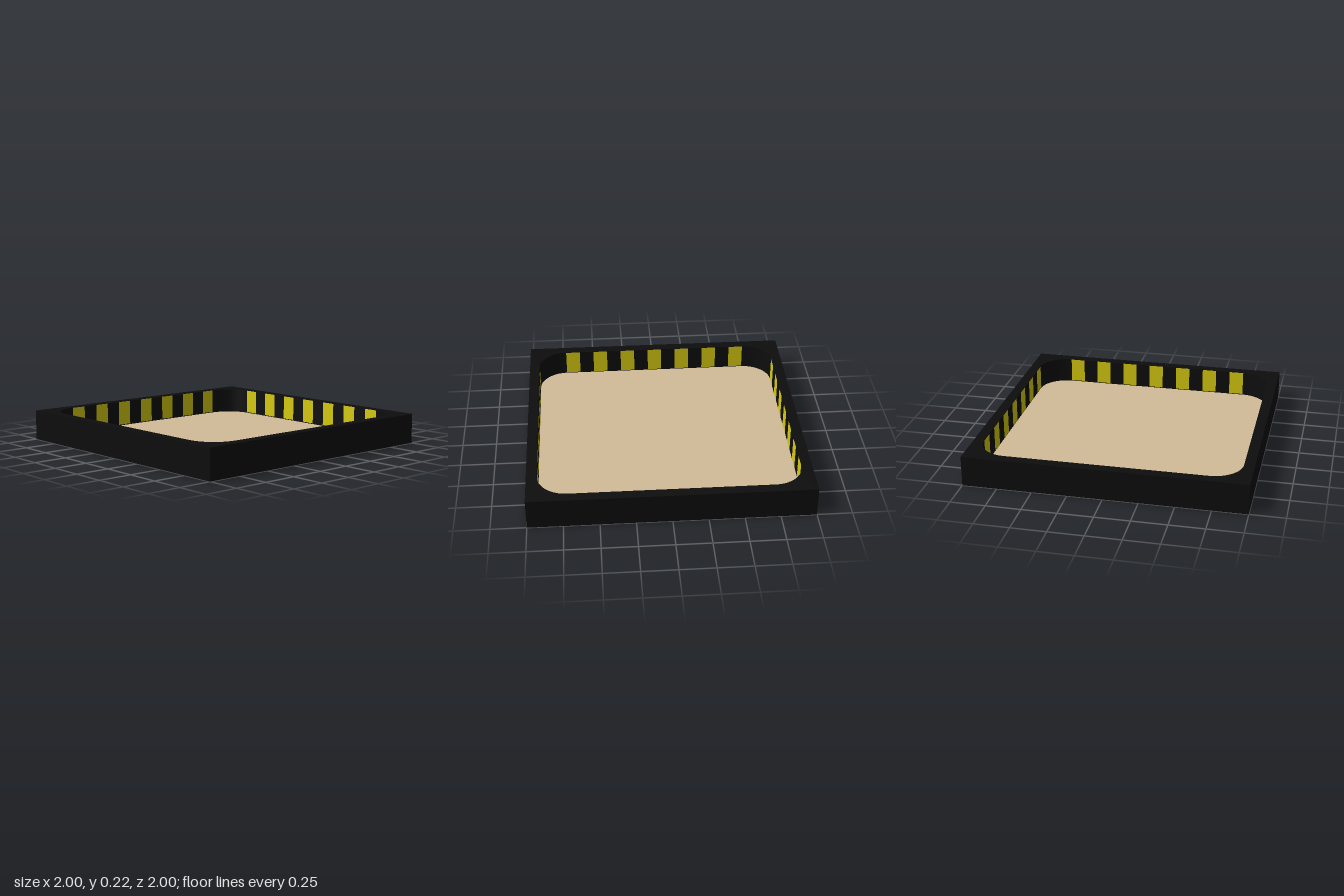
import * as THREE from 'three';

const HEIGHT = 0.22, BASE = 0.02, FLOOR = 0.03;
const INNER = 0.925, RADIUS = 0.21;

// Rounded square outline of the sandpit opening
function roundedSquare(path, h, r) {
  const c = h - r;
  path.absarc(c, c, r, 0, Math.PI / 2);
  path.absarc(-c, c, r, Math.PI / 2, Math.PI);
  path.absarc(-c, -c, r, Math.PI, Math.PI * 1.5);
  path.absarc(c, -c, r, Math.PI * 1.5, Math.PI * 2);
  path.closePath();
  return path;
}

// Extrude a plan shape upward from y0 to y1
function slab(name, shape, y0, y1, material) {
  const geo = new THREE.ExtrudeGeometry(shape, { depth: y1 - y0, bevelEnabled: false, curveSegments: 16 });
  geo.rotateX(-Math.PI / 2);
  const mesh = new THREE.Mesh(geo, material);
  mesh.name = name;
  mesh.position.y = y0;
  return mesh;
}

export function createModel() {
  const group = new THREE.Group();
  group.name = 'squareArena';
  const black = new THREE.MeshStandardMaterial({ color: 0x0d0d0d });
  const tan = new THREE.MeshStandardMaterial({ color: 0xd2bc98 });
  const yellow = new THREE.MeshStandardMaterial({ color: 0xd8cc10 });

  // Closed underside
  const base = new THREE.Mesh(new THREE.BoxGeometry(2, BASE, 2), black);
  base.name = 'base';
  base.position.y = BASE / 2;
  group.add(base);

  // Square wall with a rounded opening
  const outline = new THREE.Shape([[-1, -1], [1, -1], [1, 1], [-1, 1]].map(p => new THREE.Vector2(...p)));
  outline.holes.push(roundedSquare(new THREE.Path(), INNER, RADIUS));
  group.add(slab('wall', outline, BASE, HEIGHT, black));

  // Arena floor
  group.add(slab('floor', roundedSquare(new THREE.Shape(), INNER, RADIUS), BASE, FLOOR, tan));

  // Seven warning stripes on the straight part of each inner wall
  const width = 0.11, y0 = FLOOR + 0.006, y1 = HEIGHT - 0.001;
  const stripeGeo = new THREE.PlaneGeometry(width, y1 - y0);
  for (let side = 0; side < 4; side++) {
    const stripes = new THREE.Group();
    stripes.name = 'wallStripes' + (side + 1);
    for (let i = -3; i <= 3; i++) {
      const stripe = new THREE.Mesh(stripeGeo, yellow);
      stripe.name = 'stripe';
      stripe.position.set(i * width * 2, (y0 + y1) / 2, -INNER + 0.002);
      stripes.add(stripe);
    }
    stripes.rotation.y = side * Math.PI / 2;
    group.add(stripes);
  }
  return group;
}
